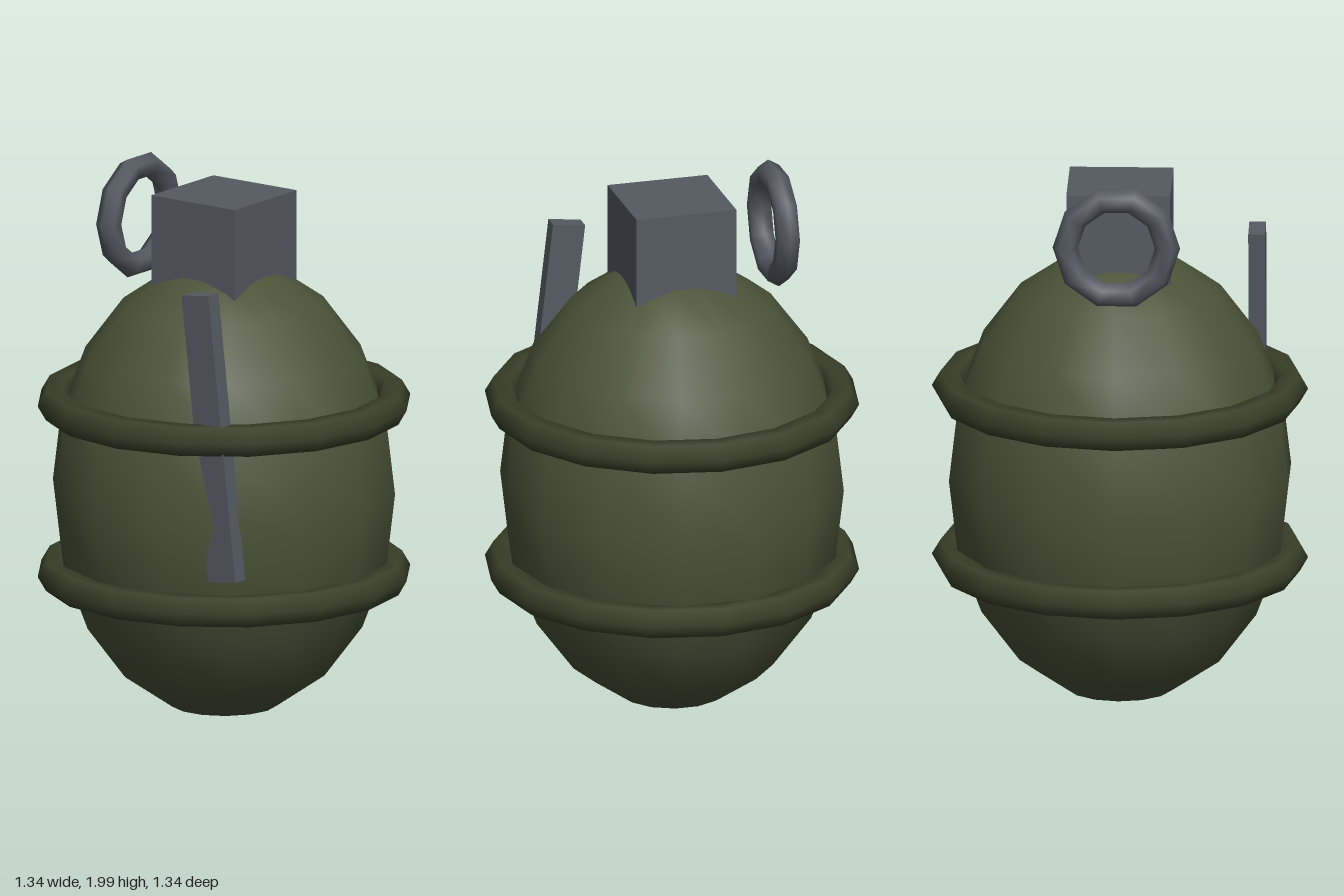
import * as THREE from 'three';

const mat = (color) => new THREE.MeshStandardMaterial({ color });

export function createModel() {
  const group = new THREE.Group();
  const green = mat(0x4b5338);
  const darkGreen = mat(0x3a4029);
  const metal = mat(0x555a62);

  const add = (name, geometry, material, x, y, z) => {
    const mesh = new THREE.Mesh(geometry, material);
    mesh.name = name;
    mesh.position.set(x, y, z);
    group.add(mesh);
    return mesh;
  };

  // Egg-shaped body
  const body = new THREE.SphereGeometry(1, 14, 10).scale(0.62, 0.835, 0.62);
  add('body', body, green, 0, 0.843, 0);

  // Two raised bands around the body
  for (const [name, y] of [['lowerBand', 0.535], ['upperBand', 1.16]]) {
    const band = new THREE.TorusGeometry(0.61, 0.06, 6, 16).rotateX(Math.PI / 2);
    add(name, band, darkGreen, 0, y, 0);
  }

  // Square cap sunk into the top of the body
  add('cap', new THREE.BoxGeometry(0.37, 0.37, 0.37), metal, 0, 1.735, 0);

  // Slanted lever, partly buried in the front of the body
  const lever = add('lever', new THREE.BoxGeometry(0.12, 1.04, 0.06), metal, 0.31, 1.163, 0.48);
  lever.rotation.z = 0.115;

  // Pull ring standing beside the cap
  const ring = new THREE.TorusGeometry(0.182, 0.045, 6, 10).rotateY(Math.PI / 2);
  add('pullRing', ring, metal, -0.376, 1.784, 0);

  return group;
}
